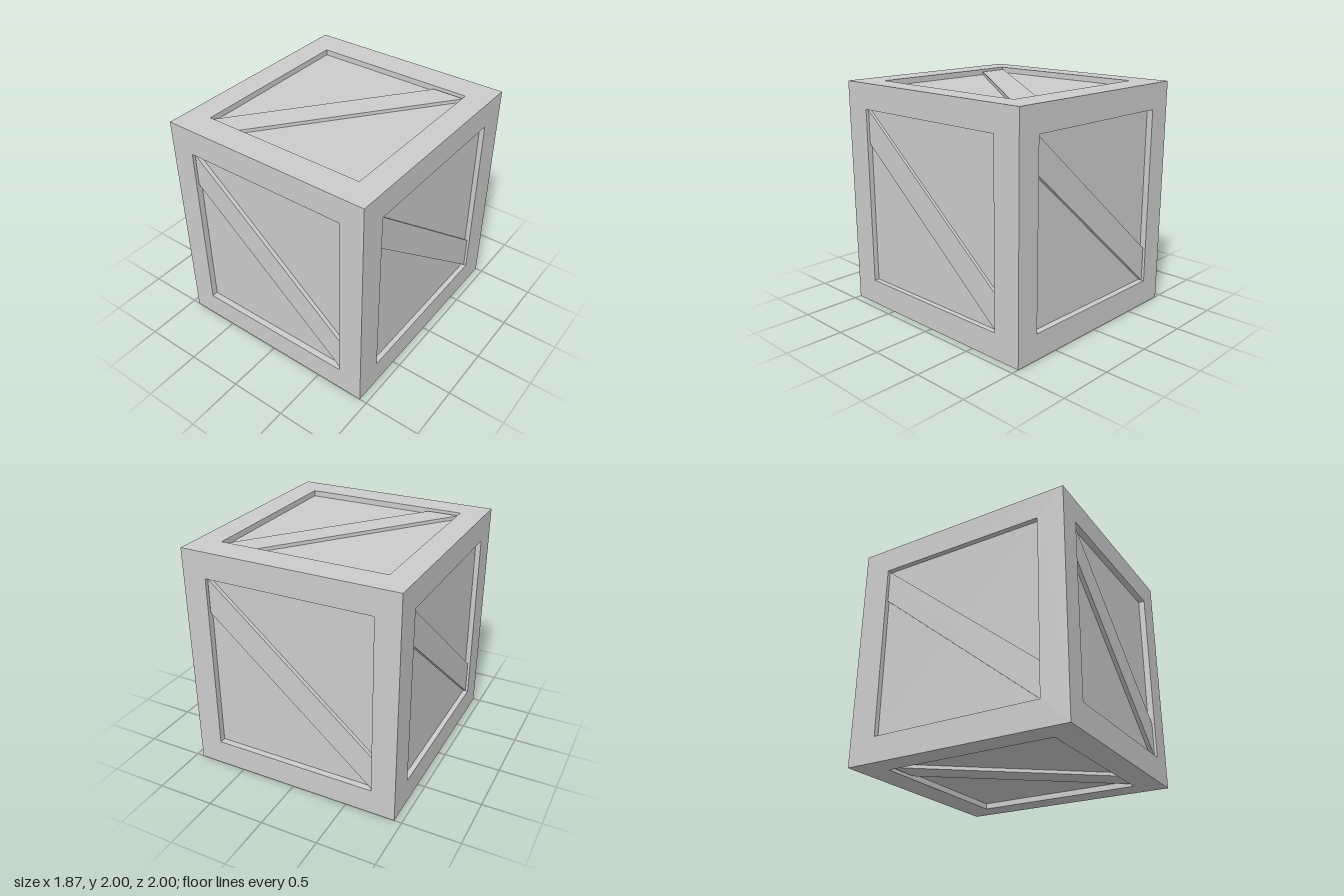
import * as THREE from 'three';

const W = 1.87, H = 2, D = 2; // crate size in x, y, z
const SHIFT = 0.007; // openings sit slightly toward +z

const material = new THREE.MeshStandardMaterial({ color: 0xcccccc, flatShading: true });

function addMesh(parent, name, geometry) {
  const mesh = new THREE.Mesh(geometry, material);
  mesh.name = name;
  parent.add(mesh);
  return mesh;
}

const toShape = (points) => new THREE.Shape(points.map(([x, y]) => new THREE.Vector2(x, y)));

// One crate side, built facing +z with its rim at z = 0.
// a, b: half size of the opening; cu, cv: its centre; flat: top or bottom side.
function createSide(name, { w, h, a, b, cu = 0, cv = 0, depth, flat = false }) {
  const side = new THREE.Group();
  side.name = name;

  // Flat rim around the opening
  const rim = toShape([[-w / 2, -h / 2], [w / 2, -h / 2], [w / 2, h / 2], [-w / 2, h / 2]]);
  rim.holes.push(toShape([
    [cu - a, cv - b], [cu - a, cv + b], [cu + a, cv + b], [cu + a, cv - b],
  ]));
  addMesh(side, 'frameRim', new THREE.ShapeGeometry(rim));

  const recess = new THREE.Group();
  recess.name = 'recess';
  recess.position.set(cu, cv, -depth);
  side.add(recess);

  // Sunken panel
  addMesh(recess, 'panel', new THREE.PlaneGeometry(2 * a, 2 * b));

  // Inner walls of the frame, facing the opening
  for (const s of [-1, 1]) {
    const upright = addMesh(recess, 'frameWall', new THREE.PlaneGeometry(depth, 2 * b));
    upright.rotation.y = -s * Math.PI / 2;
    upright.position.set(s * a, 0, depth / 2);
    const level = addMesh(recess, 'frameWall', new THREE.PlaneGeometry(2 * a, depth));
    level.rotation.x = s * Math.PI / 2;
    level.position.set(0, s * b, depth / 2);
  }

  // Diagonal brace, a little lower than the rim
  const p = a - 0.008, q = b - (flat ? 0.02 : 0.006);
  const corners = flat
    ? [[-p, -q], [-p + 0.28, -q], [p, q], [p - 0.28, q]]
    : [[-p, q], [-p, q - 0.295], [p, -q], [p, -q + 0.305]];
  addMesh(recess, 'diagonalBrace', new THREE.ExtrudeGeometry(toShape(corners), {
    depth: depth - 0.02, bevelEnabled: false,
  }));
  return side;
}

export function createModel() {
  const crate = new THREE.Group();
  crate.name = 'crate';
  const quarter = Math.PI / 2;

  // Front and back
  const broad = { w: W, h: H, a: 0.725, b: 0.777, depth: 0.055 };
  const front = createSide('frontSide', broad);
  front.position.set(0, H / 2, D / 2);
  const back = createSide('backSide', broad);
  back.position.set(0, H / 2, -D / 2);
  back.rotation.y = Math.PI;
  crate.add(front, back);

  for (const s of [-1, 1]) {
    // Left and right
    const flank = createSide(s > 0 ? 'leftSide' : 'rightSide', {
      w: D, h: H, a: 0.757, b: 0.777, cu: -s * SHIFT, depth: 0.045,
    });
    flank.position.set(s * W / 2, H / 2, 0);
    flank.rotation.y = s * quarter;

    // Top and bottom
    const cap = createSide(s > 0 ? 'topSide' : 'bottomSide', {
      w: W, h: D, a: 0.725, b: 0.757, cv: -s * SHIFT, depth: 0.05, flat: true,
    });
    cap.position.set(0, s > 0 ? H : 0, 0);
    cap.rotation.x = -s * quarter;
    crate.add(flank, cap);
  }
  return crate;
}
